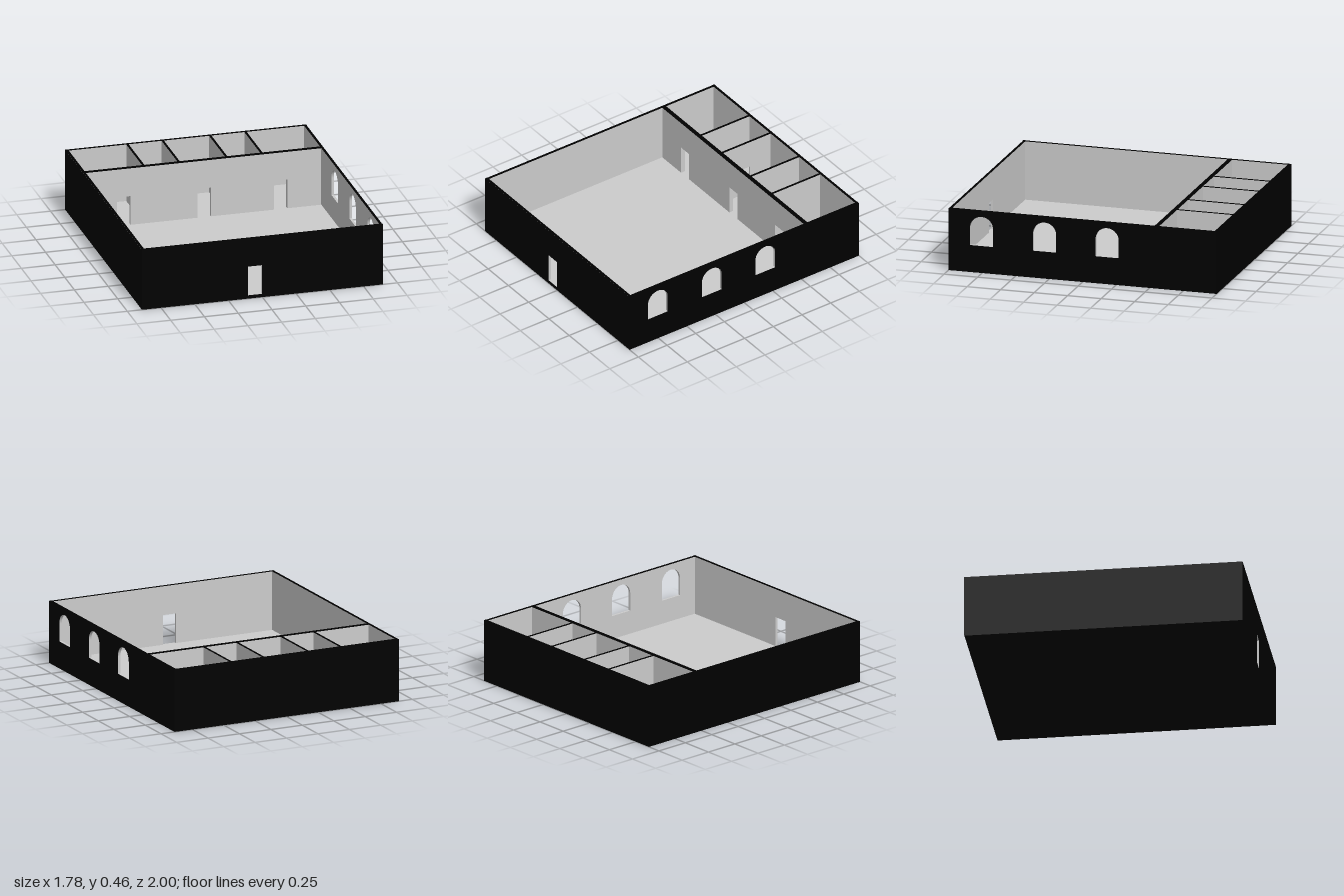
import * as THREE from 'three';

const W = 1.784, D = 2, H = 0.46;      // footprint and height
const T = 0.02;                        // outer wall thickness
const FLOOR = 0.025, SKIN = 0.002;     // floor level, dark coat thickness
const ROOM_Z = -0.548;                 // wall between hall and back rooms

const grey = new THREE.MeshStandardMaterial({ color: 0xcccccc });
const dark = new THREE.MeshStandardMaterial({ color: 0x000000 });

// Openings, in wall coordinates (u along the wall, y up)
function doorHole(u, width = 0.105) {
  const p = new THREE.Path();
  p.moveTo(u - width / 2, FLOOR);
  p.lineTo(u + width / 2, FLOOR);
  p.lineTo(u + width / 2, 0.245);
  p.lineTo(u - width / 2, 0.245);
  p.closePath();
  return p;
}

function archHole(u) {
  const r = 0.086, p = new THREE.Path();
  p.moveTo(u - r, 0.2);
  p.lineTo(u + r, 0.2);
  p.lineTo(u + r, 0.33);
  p.absarc(u, 0.33, r, 0, Math.PI, false);
  p.closePath();
  return p;
}

function wallShape(length, y0, y1, holes) {
  const s = new THREE.Shape();
  s.moveTo(-length / 2, y0);
  s.lineTo(length / 2, y0);
  s.lineTo(length / 2, y1);
  s.lineTo(-length / 2, y1);
  s.closePath();
  s.holes.push(...holes);
  return s;
}

function mesh(name, geometry, material) {
  const m = new THREE.Mesh(geometry, material);
  m.name = name;
  return m;
}

// Grey slab with a dark top edge, centred on its own z = 0
function wall(name, length, thick, holes = []) {
  const g = new THREE.Group();
  g.name = name;
  const slab = new THREE.ExtrudeGeometry(
    wallShape(length - 2 * SKIN, SKIN, H - SKIN, holes),
    { depth: thick, bevelEnabled: false, curveSegments: 24 });
  slab.translate(0, 0, -thick / 2);
  g.add(mesh(name + 'Slab', slab, grey));
  const cap = mesh(name + 'TopEdge', new THREE.BoxGeometry(length, SKIN, thick), dark);
  cap.position.y = H - SKIN / 2;
  g.add(cap);
  return g;
}

// Outer wall: the slab plus a dark coat on its outward (+z) face
function outerWall(name, length, holes) {
  const g = wall(name, length, T - SKIN, holes);
  const coat = mesh(name + 'Coat',
    new THREE.ShapeGeometry(wallShape(length, 0, H, holes), 24), dark);
  coat.position.z = T / 2 + SKIN / 2;
  g.add(coat);
  return g;
}

export function createModel() {
  const model = new THREE.Group();
  model.name = 'building';

  // Base and floor
  const base = mesh('base', new THREE.BoxGeometry(W - SKIN, FLOOR - 0.002, D - SKIN), dark);
  base.position.y = (FLOOR - 0.002) / 2;
  const floor = mesh('floor', new THREE.PlaneGeometry(W - T, D - T), grey);
  floor.rotation.x = -Math.PI / 2;
  floor.position.y = FLOOR;
  model.add(base, floor);

  // Outer walls: front door, three arched windows on the +x side
  const windows = [0.754, 0.283, -0.183].map((z) => archHole(-z));
  const sides = [
    ['frontWall', W, [doorHole(-0.055)], 0, D / 2],
    ['leftWall', D, windows, Math.PI / 2, W / 2],
    ['backWall', W, [], Math.PI, D / 2],
    ['rightWall', D, [], -Math.PI / 2, W / 2],
  ];
  for (const [name, length, holes, angle, reach] of sides) {
    const w = outerWall(name, length, holes);
    const r = reach - T / 2 - SKIN / 2;
    w.rotation.y = angle;
    w.position.set(Math.sin(angle) * r, 0, Math.cos(angle) * r);
    model.add(w);
  }

  // Wall between the hall and the back rooms
  const cross = wall('crossWall', W - 2 * T, 0.032,
    [-0.59, 0.005, 0.57].map((x) => doorHole(x, 0.1)));
  cross.position.z = ROOM_Z;
  model.add(cross);

  // Room dividers; the inner pair have doors to the narrow rooms
  const z0 = -D / 2 + T, z1 = ROOM_Z - 0.016;
  for (const x of [-0.437, -0.176, 0.176, 0.437]) {
    const mid = (z0 + z1) / 2;
    const holes = Math.abs(x) < 0.3 ? [doorHole(mid + 0.75, 0.1)] : [];
    const d = wall('roomDivider', z1 - z0, 0.016, holes);
    d.rotation.y = Math.PI / 2;
    d.position.set(x, 0, mid);
    model.add(d);
  }
  return model;
}
